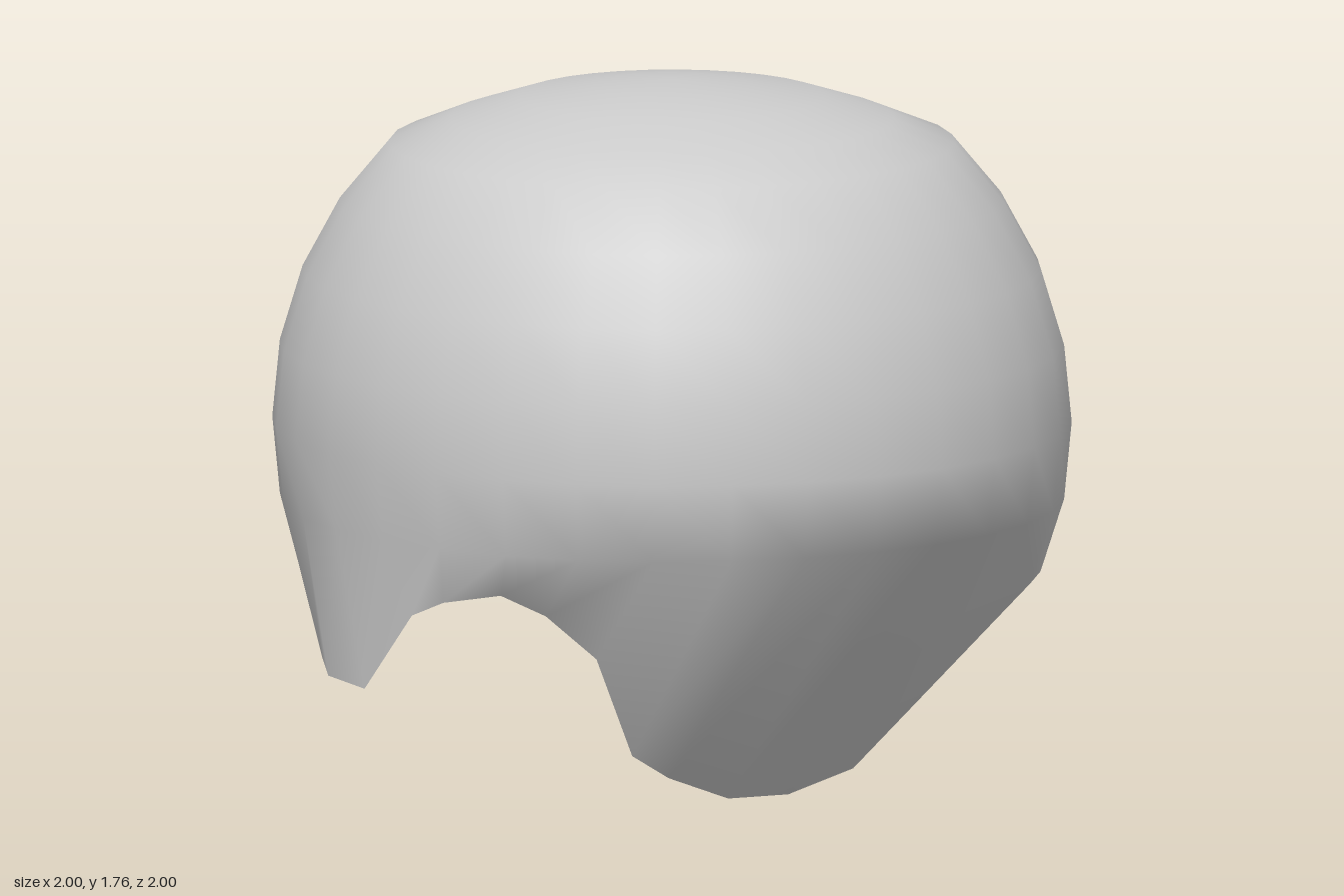
import * as THREE from 'three';

const SEGMENTS = 32;

// Dome rings from crown to hem: [radius, height]; the crown is slightly flattened
const RINGS = [
  [0, 1.762], [0.195, 1.745], [0.383, 1.72], [0.556, 1.665], [0.707, 1.604],
  [0.831, 1.455], [0.924, 1.283], [0.981, 1.095], [1, 0.9], [0.981, 0.705], [0.922, 0.52],
];

// Hem points pulled sideways to form the fringe, from the model's left round
// the front to its right: [x, y]; each keeps its depth on the hem circle
const FRINGE = [
  [0.5, 0.05], [0.405, 0.005], [0.32, 0.015], [0.23, 0.085], [0.195, 0.16],
  [0.15, 0.42], [0.05, 0.535], [-0.05, 0.588], [-0.2, 0.562], [-0.295, 0.52],
  [-0.45, 0.315], [-0.59, 0.325], [-0.66, 0.348], [-0.745, 0.4],
];

function hairGeometry() {
  const positions = [];
  const indices = [];
  const last = RINGS.length - 1;

  // Crown point, then one loop of points per ring
  positions.push(0, RINGS[0][1], 0);
  for (let i = 1; i <= last; i++) {
    const [r, y] = RINGS[i];
    for (let k = 0; k < SEGMENTS; k++) {
      const a = (k / SEGMENTS) * Math.PI * 2;
      const z = r * Math.sin(a);
      if (i === last && k < FRINGE.length) positions.push(FRINGE[k][0], FRINGE[k][1], z);
      else positions.push(r * Math.cos(a), y, z);
    }
  }

  const at = (i, k) => (i === 0 ? 0 : 1 + (i - 1) * SEGMENTS + (k % SEGMENTS));
  for (let i = 0; i < last; i++) {
    for (let k = 0; k < SEGMENTS; k++) {
      if (i > 0) indices.push(at(i, k), at(i, k + 1), at(i + 1, k));
      indices.push(at(i, k + 1), at(i + 1, k + 1), at(i + 1, k));
    }
  }

  const geometry = new THREE.BufferGeometry();
  geometry.setAttribute('position', new THREE.Float32BufferAttribute(positions, 3));
  geometry.setIndex(indices);
  geometry.computeVertexNormals();
  return geometry;
}

export function createModel() {
  const group = new THREE.Group();
  group.name = 'hair';

  // Open shell with a swept fringe
  const material = new THREE.MeshStandardMaterial({ color: 0xcccccc, side: THREE.DoubleSide });
  const shell = new THREE.Mesh(hairGeometry(), material);
  shell.name = 'hairShell';
  group.add(shell);

  return group;
}
